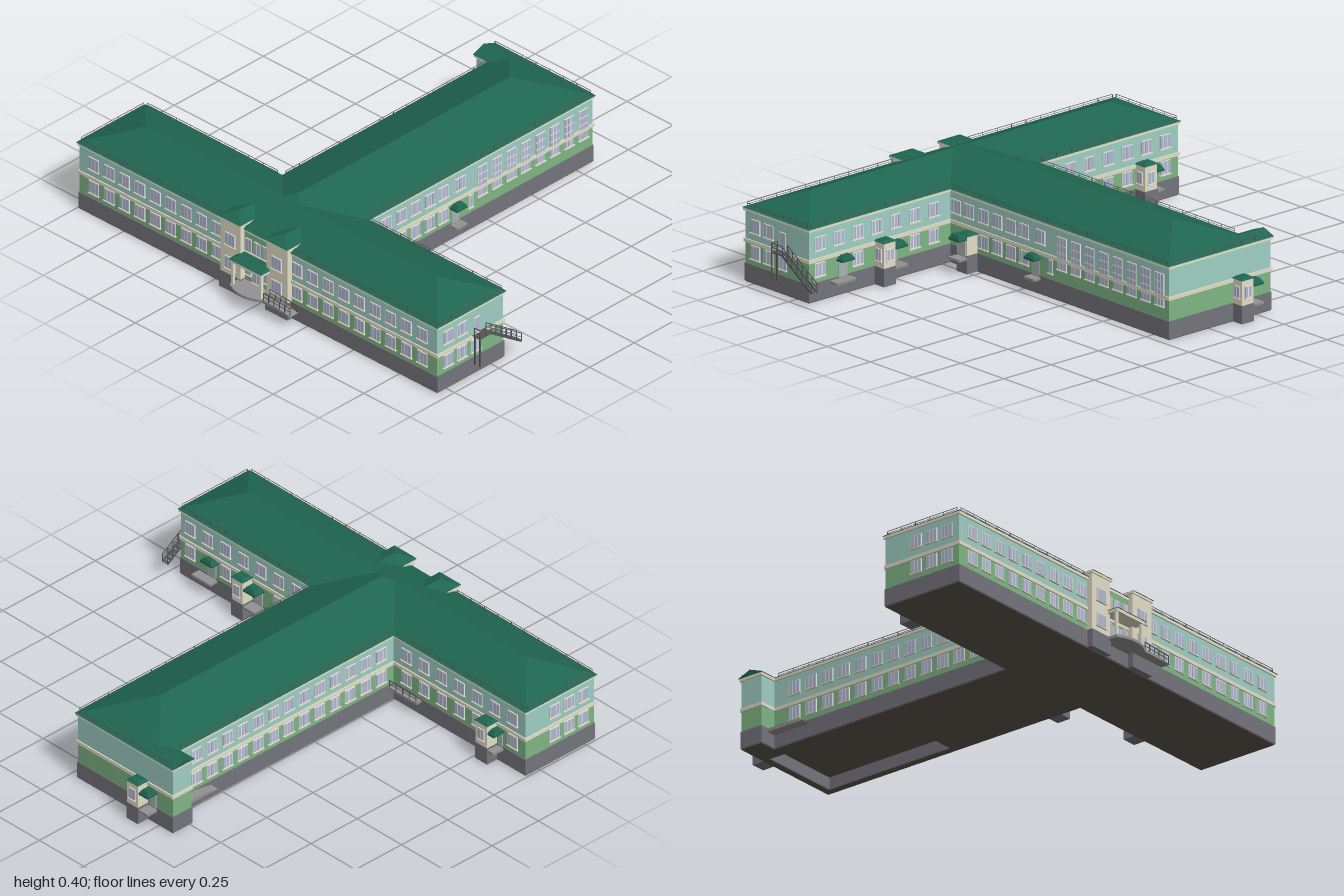
import * as THREE from 'three';
import { mergeGeometries } from 'three/addons/utils/BufferGeometryUtils.js';

const COLORS = {
  plinth: 0x74747c, groundSlab: 0x5c534c, lowerWall: 0x7fb685, upperWall: 0x9fcfc4,
  trim: 0xe3dfc8, roof: 0x1f6650, windowFrame: 0xe6e6ea, glass: 0xb2bad2,
  railing: 0x55565a, paving: 0x929292, door: 0xa9b4b4,
};

export function createModel() {
  const parts = {};
  const add = (name, geo) => {
    const g = geo.index ? geo.toNonIndexed() : geo;
    g.deleteAttribute('uv');
    (parts[name] ??= []).push(g);
  };
  // Box from its minimum and maximum corners
  const box = (name, x0, x1, y0, y1, z0, z1) => add(name,
    new THREE.BoxGeometry(x1 - x0, y1 - y0, z1 - z0).translate((x0 + x1) / 2, (y0 + y1) / 2, (z0 + z1) / 2));

  // Solid between a base rectangle and a top rectangle; a collapsed top makes a ridge
  const hip = (x0, x1, z0, z1, y0, tx0, tx1, tz0, tz1, y1, name = 'roof') => {
    const c = [[x0, y0, z1], [x1, y0, z1], [x1, y0, z0], [x0, y0, z0]];
    const t = [[tx0, y1, tz1], [tx1, y1, tz1], [tx1, y1, tz0], [tx0, y1, tz0]];
    const pos = [];
    const quad = (a, b, d, e) => {
      for (const tri of [[a, b, d], [a, d, e]]) {
        const [p, q, r] = tri.map((v) => new THREE.Vector3(...v));
        if (q.sub(p).cross(r.sub(p)).length() > 1e-9) pos.push(...tri.flat());
      }
    };
    for (let i = 0; i < 4; i++) quad(c[i], c[(i + 1) % 4], t[(i + 1) % 4], t[i]);
    quad(...t);
    quad(c[3], c[2], c[1], c[0]);
    const g = new THREE.BufferGeometry();
    g.setAttribute('position', new THREE.Float32BufferAttribute(pos, 3));
    g.computeVertexNormals();
    add(name, g);
  };

  // Square bar between two points
  const bar = (name, a, b, w, h = w) => {
    const p = new THREE.Vector3(...a), q = new THREE.Vector3(...b);
    const m = new THREE.Object3D();
    m.position.copy(p).lerp(q, 0.5);
    m.lookAt(q);
    m.updateMatrix();
    add(name, new THREE.BoxGeometry(w, h, p.distanceTo(q)).applyMatrix4(m.matrix));
  };
  // Handrail standing on the line from a to b
  const rail = (a, b, h, n, t = 0.003) => {
    const up = (p, k) => [p[0], p[1] + k, p[2]];
    bar('railing', up(a, h), up(b, h), t);
    bar('railing', up(a, h / 2), up(b, h / 2), t * 0.7);
    for (let i = 0; i <= n; i++) {
      const p = a.map((v, k) => v + (b[k] - v) * i / n);
      bar('railing', p, [p[0] + 1e-5, p[1] + h, p[2]], t);
    }
  };

  // T-shaped footprint, grown outwards by d
  const outline = (d) => new THREE.Shape([
    [-0.99 - d, 0.8 + d], [0.955 + d, 0.8 + d], [0.955 + d, 0.43 - d], [0.21 + d, 0.43 - d],
    [0.21 + d, -0.84 - d], [-0.325 - d, -0.84 - d], [-0.325 - d, -0.74 + d],
    [-0.245 - d, -0.74 + d], [-0.245 - d, 0.43 - d], [-0.99 - d, 0.43 - d],
  ].map(([x, z]) => new THREE.Vector2(x, -z)));
  const slab = (name, shape, y0, y1) => add(name,
    new THREE.ExtrudeGeometry(shape, { depth: y1 - y0, bevelEnabled: false, curveSegments: 10 })
      .rotateX(-Math.PI / 2).translate(0, y0, 0));

  // Walls in layers; the base has a recess under the hall
  const layers = [
    ['groundSlab', 0, 0, 0.004], ['plinth', 0.003, 0.004, 0.077], ['lowerWall', 0, 0.077, 0.163],
    ['trim', 0.005, 0.163, 0.178], ['upperWall', 0, 0.178, 0.293], ['trim', 0.006, 0.293, 0.305],
  ];
  layers.forEach(([name, d, y0, y1], i) => {
    const s = outline(d);
    if (i < 2) s.holes.push(new THREE.Path([[-0.19, 0.2], [0.18, 0.2], [0.18, 0.81], [-0.19, 0.81]]
      .map(([x, y]) => new THREE.Vector2(x, y))));
    slab(name, s, y0, y1);
  });
  box('groundSlab', -0.19, 0.18, 0.055, 0.06, -0.81, -0.2);

  // Hipped roofs: front wing, rear wing, rear corner
  hip(-1, 0.965, 0.42, 0.81, 0.305, -0.8, 0.78, 0.62, 0.62, 0.38);
  hip(-0.255, 0.22, -0.85, 0.78, 0.305, -0.018, -0.018, -0.61, 0.58, 0.395);
  hip(-0.335, -0.2, -0.85, -0.73, 0.305, -0.335, -0.2, -0.79, -0.79, 0.328);

  // Snow rails along the eaves
  const eaves = [
    [-0.98, 0.8, -0.22, 0.8], [0.18, 0.8, 0.945, 0.8], [-0.98, 0.43, -0.27, 0.43], [0.24, 0.43, 0.945, 0.43],
    [-0.99, 0.44, -0.99, 0.79], [0.955, 0.44, 0.955, 0.79], [0.21, 0.41, 0.21, -0.83],
    [-0.245, 0.41, -0.245, -0.72], [-0.32, -0.84, 0.2, -0.84],
  ];
  for (const [x0, z0, x1, z1] of eaves)
    rail([x0, 0.306, z0], [x1, 0.306, z1], 0.018, Math.ceil(Math.hypot(x1 - x0, z1 - z0) / 0.08), 0.0018);

  // Windows: frame, panes and sill, turned to face the wall's outside
  const win = (x, y, z, ry, w = 0.054, h = 0.056, cols = 3, rows = 1) => {
    const put = (name, gw, gh, gd, u, v, n) => add(name,
      new THREE.BoxGeometry(gw, gh, gd).translate(u, v, n).rotateY(ry).translate(x, y, z));
    put('windowFrame', w, h, 0.008, 0, 0, 0);
    put('trim', w + 0.006, 0.004, 0.016, 0, -h / 2 - 0.002, 0);
    const pw = w / cols, ph = h / rows;
    for (let i = 0; i < cols; i++) for (let j = 0; j < rows; j++)
      put('glass', pw - 0.004, ph - 0.006, 0.0095, (i + 0.5) * pw - w / 2, (j + 0.5) * ph - h / 2, 0);
  };
  const LOW = 0.13, HIGH = 0.238, Q = Math.PI / 2;
  const both = (x, z, ry) => [LOW, HIGH].forEach((y) => win(x, y, z, ry));
  for (let i = 0; i < 9; i++) {
    both(-0.91 + i * 0.0838, 0.8, 0);
    both(0.195 + i * 0.085, 0.8, 0);
  }
  // Rear side of the front wing
  for (let i = 0; i < 7; i++) for (const s of [-1, 1]) {
    const x = s < 0 ? -0.92 + i * 0.1 : 0.3 + i * 0.1;
    win(x, HIGH, 0.43, 2 * Q);
    if (!(x < -0.72 && x > -0.88) && !(x > 0.45 && x < 0.63) && !(x > 0.72 && x < 0.85)) win(x, LOW, 0.43, 2 * Q);
  }
  // Wing ends
  for (const z of [0.74, 0.663, 0.585]) {
    both(-0.99, z, -Q);
    win(0.955, LOW, z, Q);
    if (z > 0.6) win(0.955, HIGH, z, Q);
  }
  // Rear wing: two rows, then tall hall windows
  for (const z of [0.395, 0.32, 0.235, 0.155, 0.075, 0, -0.095]) win(0.21, HIGH, z, Q);
  for (const z of [0.235, 0.155, 0.075, 0]) win(0.21, LOW, z, Q);
  win(0.21, LOW, -0.155, Q, 0.024, 0.056, 1);
  for (let i = 0; i < 8; i++) win(0.21, 0.198, -0.22 - i * 0.081, Q, 0.052, 0.135, 3, 4);
  for (let i = 0; i < 13; i++) both(-0.245, 0.36 - i * 0.083, -Q);

  // Entrance towers with small hipped roofs
  for (const [x0, x1] of [[-0.2, -0.09], [0.05, 0.165]]) {
    const c = (x0 + x1) / 2;
    box('plinth', x0 - 0.003, x1 + 0.003, 0.002, 0.077, 0.78, 0.828);
    box('trim', x0, x1, 0.077, 0.318, 0.72, 0.825);
    box('trim', x0 - 0.005, x1 + 0.005, 0.318, 0.328, 0.72, 0.83);
    hip(x0 - 0.006, x1 + 0.006, 0.69, 0.834, 0.328, c, c, 0.69, 0.775, 0.352);
    both(c, 0.825, 0);
  }
  // Bay between the towers
  box('lowerWall', -0.09, 0.05, 0.178, 0.293, 0.79, 0.803);
  for (const x of [-0.065, -0.02, 0.025]) win(x, HIGH, 0.803, 0, 0.034, 0.06, 2);
  win(-0.065, LOW, 0.803, 0, 0.028, 0.056, 1);
  win(0.025, LOW, 0.803, 0, 0.028, 0.056, 1);
  win(-0.02, 0.112, 0.803, 0, 0.05, 0.07, 2, 1);

  // Porch: curved platform, columns, canopy
  const deck = new THREE.Shape();
  deck.moveTo(-0.105, -0.8);
  deck.lineTo(-0.105, -0.872);
  deck.quadraticCurveTo(-0.018, -0.925, 0.07, -0.872);
  deck.lineTo(0.07, -0.8);
  slab('paving', deck, 0.062, 0.074);
  for (const x of [-0.095, 0.058]) box('trim', x - 0.006, x + 0.006, 0.074, 0.18, 0.856, 0.868);
  box('trim', -0.103, 0.068, 0.176, 0.189, 0.79, 0.873);
  hip(-0.107, 0.072, 0.79, 0.877, 0.189, -0.085, 0.05, 0.79, 0.84, 0.2);

  // Front ramp with handrails
  hip(0.07, 0.225, 0.826, 0.87, 0.062, 0.07, 0.15, 0.826, 0.87, 0.074, 'paving');
  for (const z of [0.83, 0.867]) rail([0.075, 0.074, z], [0.22, 0.066, z], 0.032, 5);

  // Door canopy with door and step; (dx, dz) points away from the wall
  const canopy = (x, z, dx, dz, w, depth) => {
    const hx = dx ? depth / 2 : w / 2, hz = dz ? depth / 2 : w / 2;
    const cx = x + dx * depth / 2, cz = z + dz * depth / 2;
    box('roof', cx - hx, cx + hx, 0.142, 0.15, cz - hz, cz + hz);
    hip(cx - hx, cx + hx, cz - hz, cz + hz, 0.15, cx - hx * 0.6, cx + hx * 0.6, cz - hz * 0.6, cz + hz * 0.6, 0.167);
    box('paving', cx - hx, cx + hx, 0.06, 0.07, cz - hz, cz + hz);
    const ex = dx ? 0.004 : w * 0.35, ez = dz ? 0.004 : w * 0.35;
    box('door', x - ex, x + ex, 0.072, 0.138, z - ez, z + ez);
  };
  // Entrance vestibule
  const vestibule = (x0, x1, z0, z1, top = 0.18) => {
    box('plinth', x0 - 0.002, x1 + 0.002, 0.002, 0.077, z0 - 0.002, z1 + 0.002);
    box('trim', x0, x1, 0.077, top, z0, z1);
    hip(x0 - 0.004, x1 + 0.004, z0 - 0.004, z1 + 0.004, top, x0 + 0.01, x1 - 0.01, z0 + 0.01, z1 - 0.01, top + 0.01);
  };
  for (const [vx0, vx1, cx, cw, zw] of [[-0.83, -0.765, -0.85, 0.035, 0.43], [0.55, 0.61, 0.515, 0.065, 0.43],
    [-0.185, -0.125, -0.215, 0.05, -0.84]]) {
    vestibule(vx0, vx1, zw - 0.055, zw);
    win((vx0 + vx1) / 2, LOW, zw - 0.055, 2 * Q, 0.034, 0.05, 2);
    win(vx1, LOW, zw - 0.028, Q, 0.03, 0.05, 2);
    canopy(cx, zw, 0, -1, cw, 0.055);
  }
  canopy(0.778, 0.43, 0, -1, 0.065, 0.035);
  box('paving', 0.745, 0.85, 0.06, 0.07, 0.385, 0.43);
  vestibule(0.21, 0.265, 0.272, 0.33, 0.155);
  canopy(0.267, 0.301, 1, 0, 0.062, 0.043);
  canopy(0.21, -0.068, 1, 0, 0.058, 0.04);

  // Side ramps
  box('paving', -0.405, -0.245, 0.06, 0.07, 0.4, 0.43);
  rail([-0.4, 0.07, 0.403], [-0.25, 0.07, 0.403], 0.03, 4);
  hip(-0.29, -0.245, -0.74, -0.56, 0.06, -0.29, -0.245, -0.74, -0.64, 0.075, 'paving');

  // Escape stair on the end wall
  win(0.955, 0.22, 0.58, Q, 0.034, 0.07, 1);
  box('railing', 0.958, 0.998, 0.176, 0.181, 0.54, 0.605);
  for (const x of [0.968, 0.996]) {
    bar('railing', [x, 0.178, 0.54], [x, 0.065, 0.37], 0.004, 0.008);
    rail([x, 0.178, 0.54], [x, 0.065, 0.37], 0.036, 6);
    bar('railing', [x, 0.05, 0.602], [x + 1e-5, 0.18, 0.602], 0.005);
  }
  rail([0.996, 0.18, 0.602], [0.996, 0.18, 0.54], 0.036, 2);
  rail([0.965, 0.18, 0.602], [0.996, 0.18, 0.602], 0.036, 1);
  for (let i = 0; i < 11; i++) {
    const z = 0.53 - i * 0.0155, y = 0.17 - i * 0.0103;
    box('railing', 0.968, 0.996, y, y + 0.002, z - 0.007, z + 0.007);
  }

  const group = new THREE.Group();
  group.name = 'building';
  for (const [name, geos] of Object.entries(parts)) {
    const mesh = new THREE.Mesh(mergeGeometries(geos), new THREE.MeshStandardMaterial({ color: COLORS[name] }));
    mesh.name = name;
    group.add(mesh);
  }
  return group;
}
